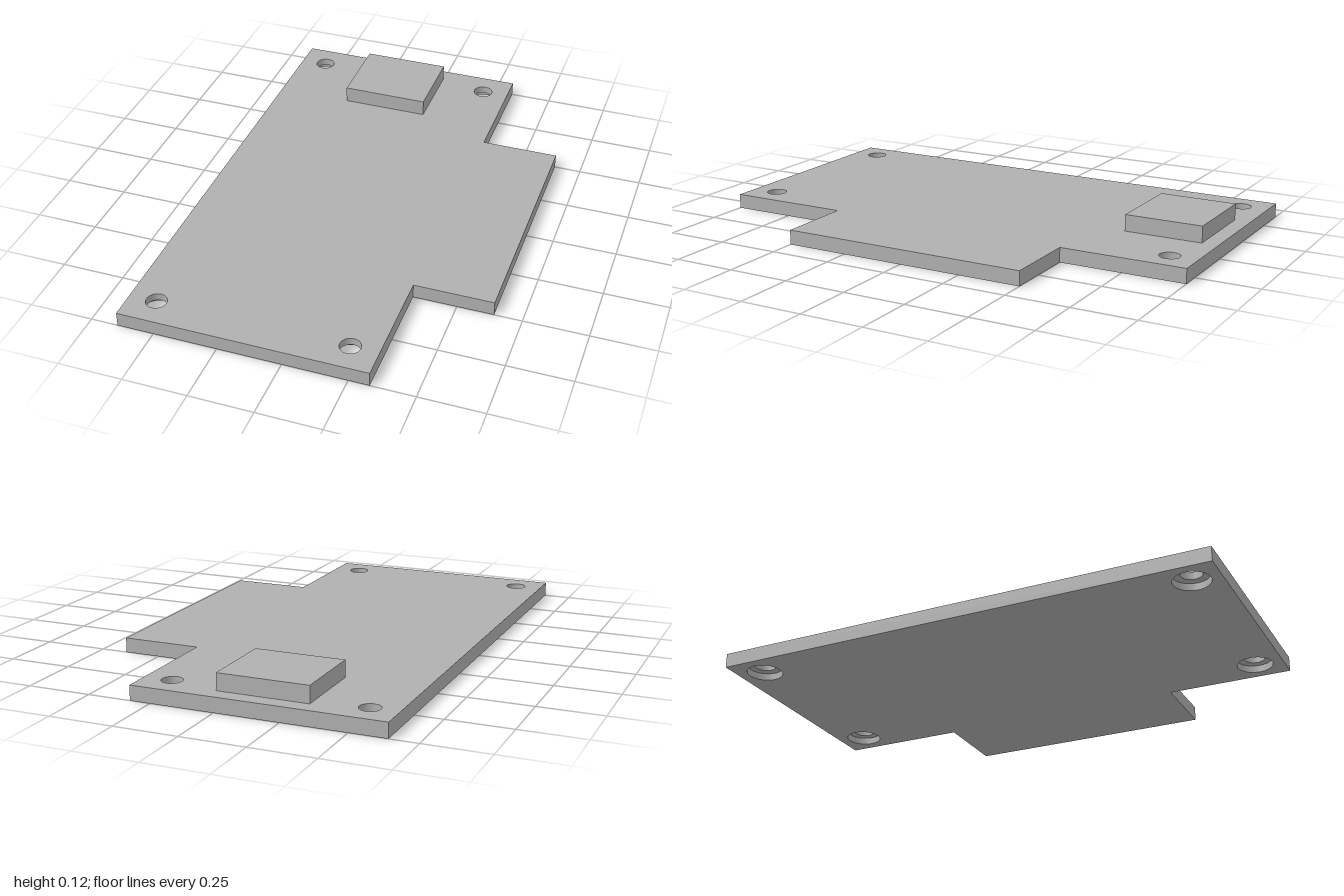
import * as THREE from 'three';
import { mergeGeometries } from 'three/addons/utils/BufferGeometryUtils.js';

const THICK = 0.058;      // plate thickness
const RECESS = 0.028;     // counterbore depth from the underside
const HOLE_R = 0.04, BORE_R = 0.07;
const HOLES = [-0.535, 0.22].flatMap(x => [-0.89, 0.89].map(z => [x, z]));
const OUTLINE = [
  [-0.643, -1], [0.33, -1], [0.33, -0.5], [0.643, -0.5],
  [0.643, 0.5], [0.33, 0.5], [0.33, 1], [-0.643, 1],
];

// Plate outline, with four round holes when a radius is given
function outline(radius) {
  const shape = new THREE.Shape(OUTLINE.map(([x, y]) => new THREE.Vector2(x, y)));
  if (radius) for (const [x, z] of HOLES) {
    shape.holes.push(new THREE.Path().absarc(x, z, radius, 0, Math.PI * 2, true));
  }
  return shape;
}

export function createModel() {
  const model = new THREE.Group();
  model.name = 'mountingPlate';
  const grey = new THREE.MeshStandardMaterial({ color: 0xb0b0b0 });
  grey.name = 'grey';
  const add = (name, geometry) => {
    const mesh = new THREE.Mesh(geometry, grey);
    mesh.name = name;
    model.add(mesh);
    return mesh;
  };

  // Plate faces: narrow holes on top, wide counterbores underneath
  add('plateTop', new THREE.ShapeGeometry(outline(HOLE_R), 24)
    .rotateX(-Math.PI / 2).translate(0, THICK, 0));
  add('plateBottom', new THREE.ShapeGeometry(outline(BORE_R), 24).rotateX(Math.PI / 2));

  // Plate rim: only the side walls of the extruded outline
  const solid = new THREE.ExtrudeGeometry(outline(), { depth: THICK, bevelEnabled: false });
  const { start, count } = solid.groups[1];
  const rim = new THREE.BufferGeometry();
  rim.setAttribute('position', new THREE.BufferAttribute(
    solid.attributes.position.array.slice(start * 3, (start + count) * 3), 3));
  rim.computeVertexNormals();
  add('plateRim', rim.rotateX(-Math.PI / 2));

  // Counterbored screw holes: narrow wall, step and wide wall
  const profile = [[HOLE_R, THICK], [HOLE_R, RECESS], [BORE_R, RECESS], [BORE_R, 0]]
    .map(([r, y]) => new THREE.Vector2(r, y));
  const bore = mergeGeometries([0, 1, 2].map(i =>
    new THREE.LatheGeometry(profile.slice(i, i + 2), 48)));
  for (const [x, z] of HOLES) add('screwHole', bore).position.set(x, 0, z);

  // Raised block near the back edge
  add('raisedBlock', new THREE.BoxGeometry(0.355, 0.066, 0.314))
    .position.set(-0.157, THICK + 0.033, -0.779);

  return model;
}
